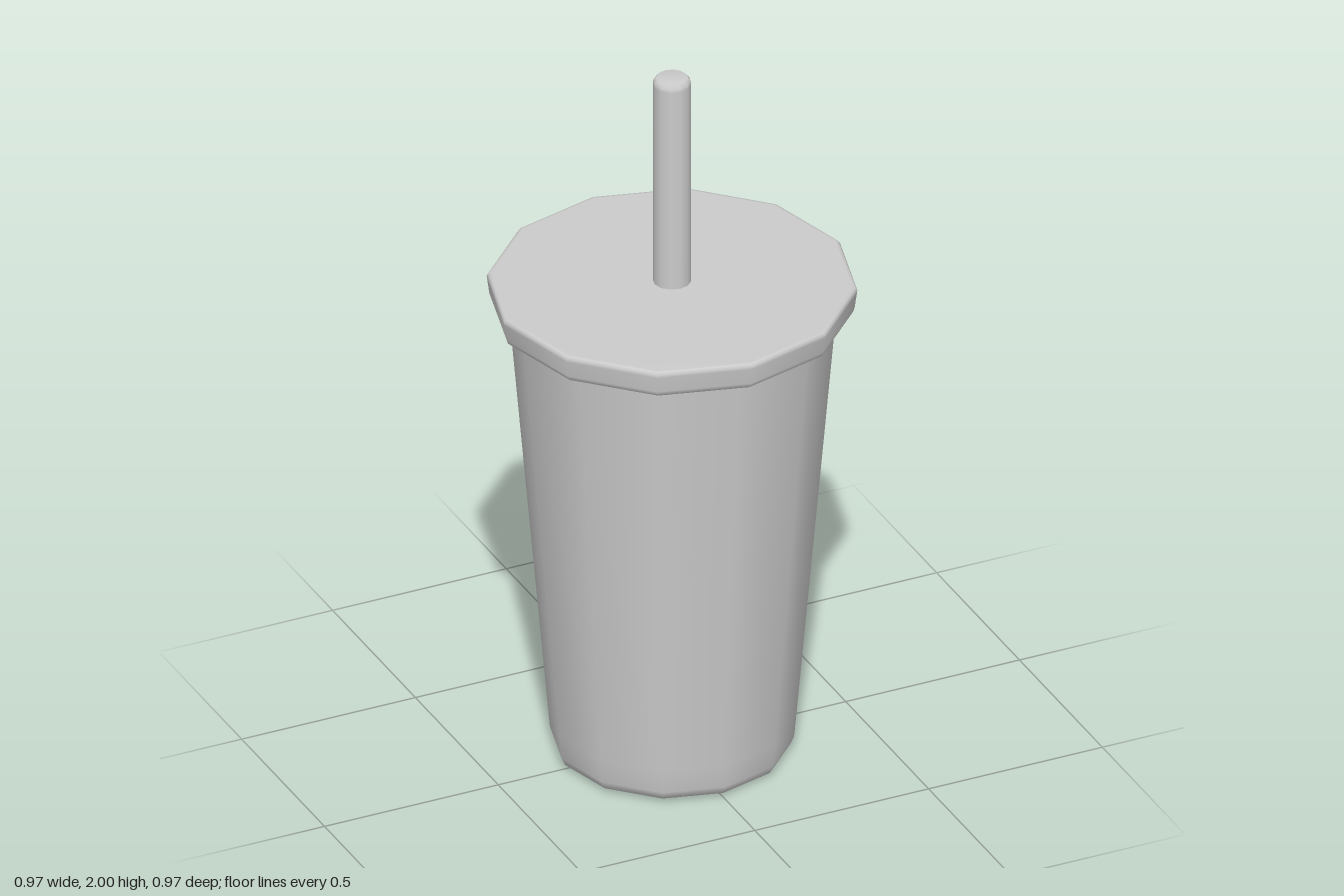
import * as THREE from 'three';

const SIDES = 12;

// Revolves a profile of [radius, height] pairs, listed from bottom to top on the outside
function turned(name, profile, side = THREE.FrontSide) {
  const points = profile.map(([r, y]) => new THREE.Vector2(r, y));
  const mesh = new THREE.Mesh(
    new THREE.LatheGeometry(points, SIDES),
    new THREE.MeshStandardMaterial({ color: 0xcccccc, side })
  );
  mesh.name = name;
  return mesh;
}

export function createModel() {
  const group = new THREE.Group();
  group.name = 'cupWithStraw';

  // Tapered cup with a bevelled foot, reaching up inside the lid
  group.add(turned('cup', [
    [0, 0], [0.275, 0], [0.288, 0.002], [0.308, 0.012], [0.318, 0.035],
    [0.324, 0.1], [0.428, 1.31], [0.434, 1.38],
  ], THREE.DoubleSide));

  // Thin lid, open underneath, with a skirt that flares slightly upwards
  group.add(turned('lid', [
    [0.463, 1.312], [0.472, 1.318], [0.476, 1.33], [0.482, 1.375],
    [0.483, 1.383], [0.478, 1.39], [0.47, 1.391], [0, 1.391],
  ], THREE.DoubleSide));

  // Straw with a softened, closed tip
  group.add(turned('straw', [
    [0.05, 1.37], [0.05, 1.98], [0.049, 1.99], [0.041, 2], [0, 2],
  ]));

  return group;
}
